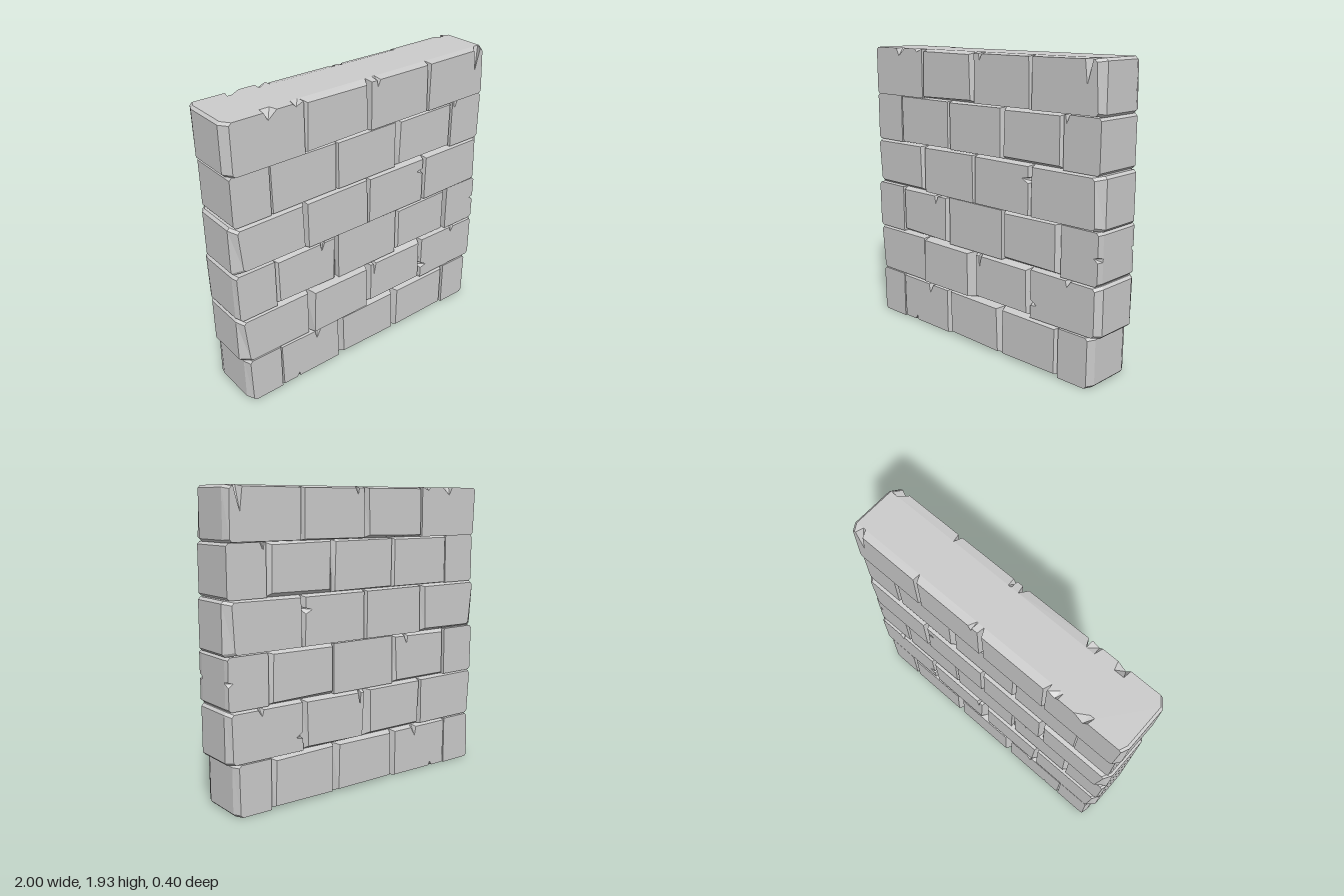
import * as THREE from 'three';

const material = new THREE.MeshStandardMaterial({ color: 0xcccccc, flatShading: true });
const RIM_FRONT = 0.125, RIM_BACK = -0.15, COURSE_HEIGHT = 0.321, STONE_LENGTH = 0.48, CLIP = 0.016;

// Small seeded generator for the hand-cut irregularity
let seed = 7;
const random = () => {
  seed = (seed * 16807) % 2147483647;
  return seed / 2147483647;
};

// Outline of a stone (counter-clockwise from the front): clipped corners, and chips bitten into its edges
function outline(corners, clipped, chips, cut) {
  const points = [];
  corners.forEach((a, edge) => {
    const b = corners[(edge + 1) % 4], before = corners[(edge + 3) % 4];
    const along = b.clone().sub(a).normalize();
    const inward = new THREE.Vector2(-along.y, along.x);
    if (clipped[edge]) {
      points.push(before.clone().sub(a).setLength(CLIP).add(a), a.clone().addScaledVector(along, CLIP));
    } else {
      points.push(a);
    }
    chips.filter(chip => chip.edge === edge).forEach(({ at, depth, half }) => {
      points.push(a.clone().lerp(b, at - half));
      points.push(a.clone().lerp(b, at + half * 0.4).addScaledVector(inward, cut ? depth : 0));
      points.push(a.clone().lerp(b, at + half));
    });
  });
  return points;
}

// Solid skinned over outlines stacked from back to front: [{ points, z }]
function loft(layers) {
  const position = [];
  const put = (layer, i) => position.push(layer.points[i].x, layer.points[i].y, layer.z);
  for (let k = 0; k + 1 < layers.length; k++) {
    const a = layers[k], b = layers[k + 1], n = a.points.length;
    for (let i = 0; i < n; i++) {
      const j = (i + 1) % n;
      put(a, i); put(a, j); put(b, j);
      put(a, i); put(b, j); put(b, i);
    }
  }
  const back = layers[0], front = layers[layers.length - 1];
  THREE.ShapeUtils.triangulateShape(back.points.slice(), []).forEach(([a, b, c]) => {
    put(back, a); put(back, c); put(back, b);
  });
  THREE.ShapeUtils.triangulateShape(front.points.slice(), []).forEach(f => f.forEach(i => put(front, i)));
  const geometry = new THREE.BufferGeometry();
  geometry.setAttribute('position', new THREE.Float32BufferAttribute(position, 3));
  geometry.computeVertexNormals();
  return geometry;
}

// Stone with uneven bevels around its front and back faces
function stone(x0, x1, y0, y1, front, back, bevel, clipped, chips) {
  const uneven = v => v * (0.6 + 0.8 * random());
  const face = () => [
    new THREE.Vector2(x0 + uneven(bevel.left), y0 + uneven(bevel.bottom)),
    new THREE.Vector2(x1 - uneven(bevel.right), y0 + uneven(bevel.bottom)),
    new THREE.Vector2(x1 - uneven(bevel.right), y1 - uneven(bevel.top)),
    new THREE.Vector2(x0 + uneven(bevel.left), y1 - uneven(bevel.top)),
  ];
  const corners = [[x0, y0], [x1, y0], [x1, y1], [x0, y1]].map(p => new THREE.Vector2(...p));
  const rim = outline(corners, clipped, chips, false);
  return loft([
    { points: outline(face(), clipped, chips, true), z: back },
    { points: rim, z: RIM_BACK },
    { points: rim, z: RIM_FRONT },
    { points: outline(face(), clipped, chips, true), z: front },
  ]);
}

// Dressing of a stone: F flush, S softly bevelled, P proud, B bulging; drop is how far its face sits back
const proud = { drop: 0, left: 0.022, right: 0.032, bottom: 0.02, top: 0.014 };
const dressings = {
  F: { drop: 0.004, left: 0, right: 0, bottom: 0, top: 0 },
  S: { drop: 0.004, left: 0.01, right: 0.016, bottom: 0.007, top: 0.01 },
  P: proud,
  B: { ...proud, drop: -0.025 },
};

// A chip sits on an edge (0 bottom, 1 right, 2 top, 3 left), counter-clockwise along it
const chip = (stoneIndex, edge, at, depth, half) => ({ stoneIndex, edge, at, depth, half });

// Courses from the bottom up
const courses = [
  { pattern: 'FSPPF', left: -0.97, right: 0.955, front: 0.182, back: 0.2, outer: 0.02,
    chips: [chip(1, 2, 0.37, 0.06, 0.05), chip(1, 0, 0.26, 0.03, 0.03)] },
  { pattern: 'SBPS', left: -1, right: 1, front: 0.178, back: 0.2, outer: 0.04,
    chips: [chip(2, 2, 0.92, 0.08, 0.025), chip(3, 3, 0.68, 0.05, 0.07), chip(3, 2, 0.4, 0.04, 0.04)] },
  { pattern: 'FPFPF', left: -1, right: 0.99, front: 0.17, back: 0.185, outer: 0.01,
    chips: [chip(1, 2, 0.22, 0.05, 0.04), chip(4, 1, 0.5, 0.03, 0.05)] },
  { pattern: 'PSSS', left: -1, right: 1, front: 0.178, back: 0.2, outer: 0.045,
    chips: [chip(2, 1, 0.72, 0.05, 0.06)] },
  { pattern: 'FSSPF', left: -0.98, right: 0.975, front: 0.167, back: 0.18, outer: 0,
    chips: [chip(4, 2, 0.9, 0.05, 0.06)] },
  { pattern: 'FPSS', left: -1, right: 0.98, front: 0.182, back: 0.2, outer: 0.028,
    chips: [chip(0, 2, 0.08, 0.02, 0.07), chip(0, 2, 0.46, 0.05, 0.09),
      chip(2, 2, 0.88, 0.04, 0.03), chip(3, 2, 0.11, 0.14, 0.06)] },
];

export function createModel() {
  const wall = new THREE.Group();
  wall.name = 'stoneWall';
  courses.forEach(({ pattern, left, right, front, back, outer, chips }, row) => {
    const course = new THREE.Group();
    course.name = `course${row + 1}`;
    const count = pattern.length;
    // Joints are centred, so alternate courses break bond; end stones run to the course ends
    const joint = i => i === 0 ? left : i === count ? right : (i - count / 2) * STONE_LENGTH - 0.005;
    [...pattern].forEach((letter, i) => {
      const bevel = { ...dressings[letter] };
      const first = i === 0, last = i === count - 1;
      if (first) bevel.left = outer;
      if (last) bevel.right = outer;
      const geometry = stone(
        joint(i), joint(i + 1), row * COURSE_HEIGHT, (row + 1) * COURSE_HEIGHT,
        front - bevel.drop, Math.max(bevel.drop, 0) - back, bevel,
        [first, last, last, first], chips.filter(c => c.stoneIndex === i));
      const mesh = new THREE.Mesh(geometry, material);
      mesh.name = `stone${i + 1}`;
      course.add(mesh);
    });
    wall.add(course);
  });
  return wall;
}
